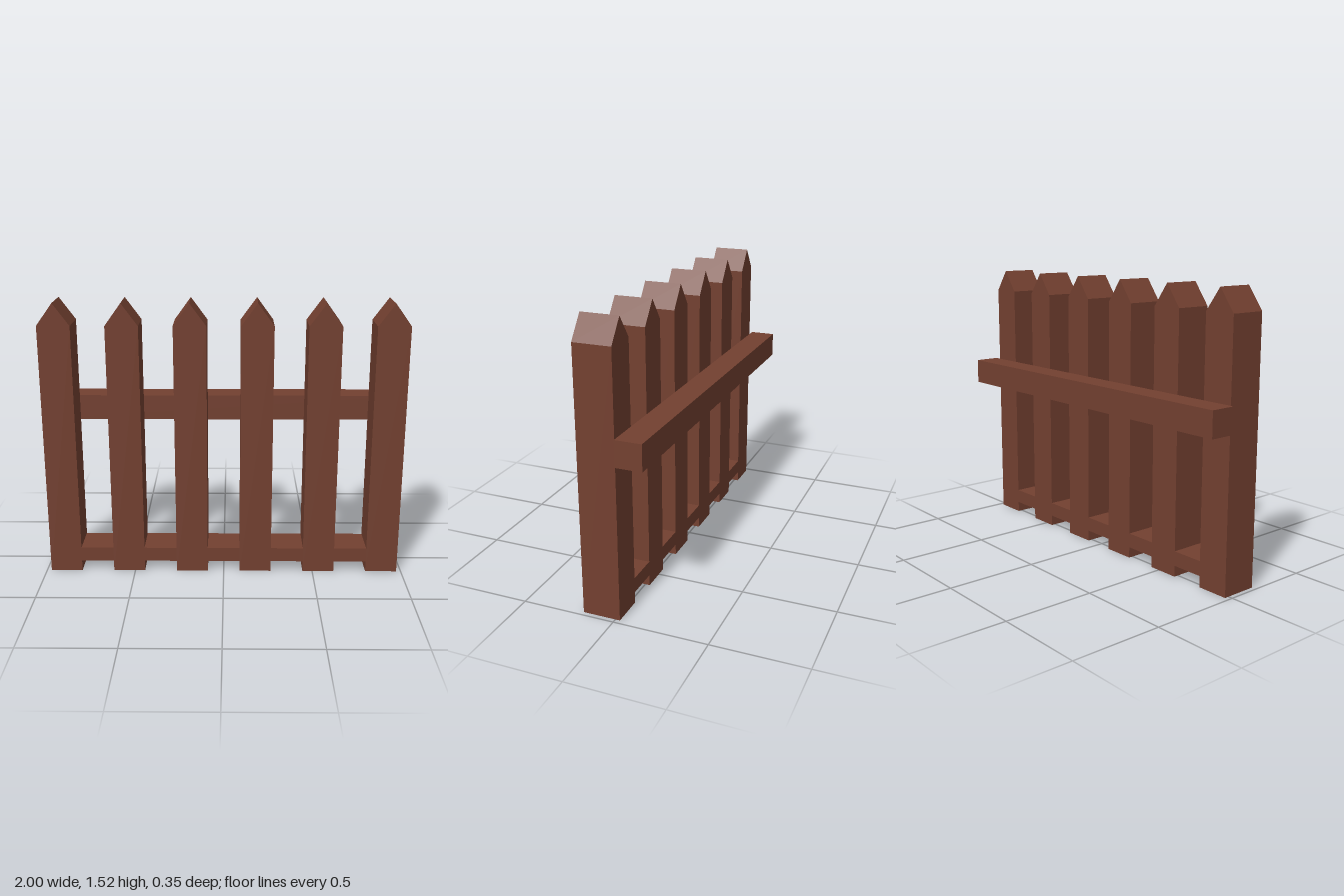
import * as THREE from 'three';

const COUNT = 6, SPACING = 0.355, WIDTH = 0.175;
const SHOULDER = 1.4, PEAK = 1.52;
const BACK = -0.025, DEPTH = 0.2;

export function createModel() {
  const fence = new THREE.Group();
  fence.name = 'picketFence';
  const wood = new THREE.MeshStandardMaterial({ color: 0x734030, flatShading: true });

  const add = (name, geometry, x, y, z) => {
    const mesh = new THREE.Mesh(geometry, wood);
    mesh.name = name;
    mesh.position.set(x, y, z);
    fence.add(mesh);
  };

  // Pointed picket outline, extruded from back to front
  const outline = new THREE.Shape([
    new THREE.Vector2(-WIDTH / 2, 0),
    new THREE.Vector2(WIDTH / 2, 0),
    new THREE.Vector2(WIDTH / 2, SHOULDER),
    new THREE.Vector2(0, PEAK),
    new THREE.Vector2(-WIDTH / 2, SHOULDER),
  ]);
  const picket = new THREE.ExtrudeGeometry(outline, { depth: DEPTH, bevelEnabled: false });

  // Low block filling the gap between two pickets, flush with their faces
  const spacer = new THREE.BoxGeometry(SPACING - WIDTH, 0.08, DEPTH);

  for (let i = 0; i < COUNT; i++) {
    const x = (i - (COUNT - 1) / 2) * SPACING;
    add(`picket${i + 1}`, picket, x, 0, BACK);
    if (i < COUNT - 1) add(`bottomSpacer${i + 1}`, spacer, x + SPACING / 2, 0.1, BACK + DEPTH / 2);
  }

  // Long rail behind the pickets
  add('backRail', new THREE.BoxGeometry(2, 0.138, 0.14), 0, 0.901, -0.105);

  return fence;
}
